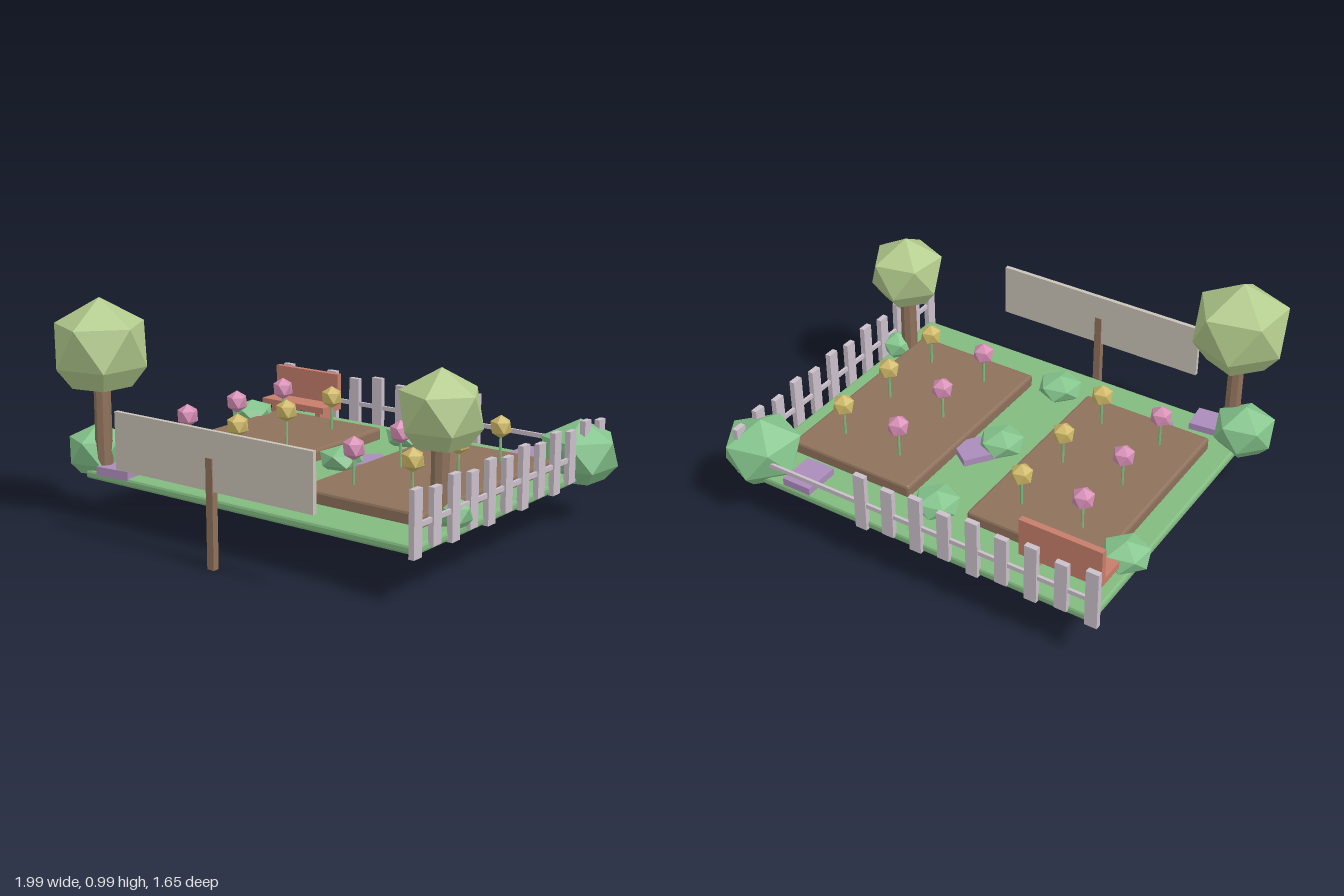
import * as THREE from 'three';
import { RoundedBoxGeometry } from 'three/addons/geometries/RoundedBoxGeometry.js';

const paint = (name, color) => {
  const m = new THREE.MeshStandardMaterial({ color });
  m.name = name;
  return m;
};

// Bakes flat facets into a geometry
function faceted(geometry) {
  const g = geometry.index ? geometry.toNonIndexed() : geometry;
  g.computeVertexNormals();
  return g;
}

// Five-sided foliage ball: apex, twisted rings [height, radius, turn], bottom point
function foliage(topY, bottomY, rings) {
  const N = 5, pos = [0, topY, 0], idx = [];
  for (const [y, r, turn] of rings) {
    for (let i = 0; i < N; i++) {
      const a = 0.1 + turn + (i * Math.PI * 2) / N;
      pos.push(r * Math.cos(a), y, r * Math.sin(a));
    }
  }
  const last = 1 + rings.length * N;
  pos.push(0, bottomY, 0);
  for (let i = 0; i < N; i++) {
    const j = (i + 1) % N;
    idx.push(0, 1 + j, 1 + i);
    for (let k = 0; k < rings.length - 1; k++) {
      const a = 1 + k * N, b = a + N;
      idx.push(a + i, a + j, b + i, a + j, b + j, b + i);
    }
    idx.push(last, last - N + i, last - N + j);
  }
  const g = new THREE.BufferGeometry();
  g.setAttribute('position', new THREE.Float32BufferAttribute(pos, 3));
  g.setIndex(idx);
  return faceted(g);
}

const TWIST = Math.PI / 5;

// Flat-bottomed crown used for trees and bushes
function crown(r, y0, y1) {
  const h = y1 - y0;
  return foliage(y1, y0, [
    [y0 + h * 0.7, r, 0],
    [y0 + h * 0.23, r, TWIST],
    [y0, r * 0.66, TWIST],
  ]);
}

export function createModel() {
  const mat = {
    lawn: paint('lawn green', 0x82ba80),
    bush: paint('bush green', 0x84c48c),
    leaf: paint('pale leaf green', 0xb2ca8c),
    brown: paint('soil and wood brown', 0x8e715b),
    pink: paint('petal pink', 0xd58db4),
    yellow: paint('petal yellow', 0xcdb766),
    purple: paint('stone purple', 0xab8cba),
    bench: paint('bench red', 0xc67d6b),
    fence: paint('fence lilac grey', 0xcabfca),
    sign: paint('sign grey', 0xc9c3b7),
  };
  const model = new THREE.Group();
  model.name = 'garden';

  const add = (name, geometry, material, x = 0, y = 0, z = 0, parent = model) => {
    const mesh = new THREE.Mesh(geometry, material);
    mesh.name = name;
    mesh.position.set(x, y, z);
    parent.add(mesh);
    return mesh;
  };
  // Box given by its extents along each axis
  const box = (name, material, [x0, x1], [y0, y1], [z0, z1], parent = model, bevel = 0) => {
    const s = [x1 - x0, y1 - y0, z1 - z0];
    const g = bevel ? faceted(new RoundedBoxGeometry(...s, 1, bevel)) : new THREE.BoxGeometry(...s);
    return add(name, g, material, (x0 + x1) / 2, (y0 + y1) / 2, (z0 + z1) / 2, parent);
  };
  const group = (name) => {
    const g = new THREE.Group();
    g.name = name;
    model.add(g);
    return g;
  };

  // Lawn and two soil beds
  box('lawn', mat.lawn, [-0.868, 0.868], [0.19, 0.23], [-0.765, 0.647], model, 0.012);
  for (const s of [-1, 1]) {
    const x = s * 0.454;
    box('flowerBed', mat.brown, [x - 0.308, x + 0.308], [0.22, 0.284], [-0.55, 0.443], model, 0.012);
  }

  // Flowers in four columns
  const bloom = foliage(0.052, -0.052, [[0.023, 0.046, 0], [-0.023, 0.046, TWIST]]);
  const stem = faceted(new THREE.CylinderGeometry(0.006, 0.006, 0.14, 6));
  const flowers = group('flowers');
  [-0.6, -0.31, 0.31, 0.6].forEach((x, i) => {
    for (const z of [-0.385, -0.053, 0.278]) {
      add('flowerStem', stem, mat.lawn, x, 0.345, z, flowers);
      add('flowerBloom', bloom, i % 2 ? mat.yellow : mat.pink, x, 0.438, z, flowers);
    }
  });

  // Trees: x, z, crown radius, crown bottom, crown top
  for (const [x, z, r, y0, y1] of [[-0.785, 0.61, 0.2, 0.607, 0.99], [0.785, 0.362, 0.164, 0.543, 0.85]]) {
    const tree = group('tree');
    const h = y0 + 0.03 - 0.22;
    add('trunk', faceted(new THREE.CylinderGeometry(0.036, 0.038, h, 8)), mat.brown, x, 0.22 + h / 2, z, tree);
    add('treeCrown', crown(r, y0, y1), mat.leaf, x, 0, z, tree);
  }

  // Bushes: x, z, radius, bottom, top
  const bushes = [
    [0.825, -0.675, 0.168, 0.18, 0.45],
    [-0.87, 0.56, 0.13, 0.205, 0.42],
    [-0.825, -0.425, 0.1, 0.225, 0.345],
    [0, -0.55, 0.097, 0.225, 0.33],
    [0, -0.053, 0.097, 0.225, 0.33],
    [0, 0.445, 0.097, 0.225, 0.33],
    [0.835, 0.33, 0.07, 0.225, 0.34],
  ];
  for (const [x, z, r, y0, y1] of bushes) add('bush', crown(r, y0, y1), mat.bush, x, 0, z);

  // Picket fences: tall and short pickets alternate
  const picketHeights = [[0.19, 0.46], [0.21, 0.44]];
  const backFence = group('backFence');
  for (let i = 0; i < 9; i++) {
    const x = -0.868 + i * 0.1367;
    box('picket', mat.fence, [x - 0.028, x + 0.028], picketHeights[i % 2], [-0.78, -0.755], backFence);
  }
  box('fenceRail', mat.fence, [-0.868, 0.875], [0.305, 0.325], [-0.774, -0.761], backFence);
  const sideFence = group('sideFence');
  for (let i = 0; i < 12; i++) {
    const z = 0.658 - i * 0.1285;
    box('picket', mat.fence, [0.863, 0.888], picketHeights[i % 2], [z - 0.027, z + 0.027], sideFence);
  }
  box('fenceRail', mat.fence, [0.869, 0.882], [0.305, 0.325], [-0.765, 0.66], sideFence);

  // Bench with seat, back and legs
  const bench = group('bench');
  box('benchSeat', mat.bench, [-0.853, -0.476], [0.3, 0.33], [-0.675, -0.535], bench);
  box('benchBack', mat.bench, [-0.853, -0.476], [0.33, 0.475], [-0.675, -0.647], bench);
  for (const x of [-0.8, -0.53]) {
    box('benchLeg', mat.bench, [x - 0.015, x + 0.015], [0.225, 0.3], [-0.65, -0.56], bench);
  }

  // Stepping stones: x, z, width, depth, turn
  for (const [x, z, w, d, turn] of [
    [0.58, -0.675, 0.14, 0.17, 0],
    [0.076, -0.137, 0.14, 0.17, -0.62],
    [-0.507, 0.406, 0.15, 0.13, 0.29],
    [-0.7, 0.595, 0.17, 0.13, 0.1],
  ]) {
    add('steppingStone', new THREE.BoxGeometry(w, 0.04, d), mat.purple, x, 0.242, z).rotation.y = turn;
  }

  // Blank sign on a post
  const sign = group('sign');
  box('signPost', mat.brown, [-0.017, 0.017], [0, 0.46], [0.783, 0.813], sign);
  box('signPanel', mat.sign, [-0.515, 0.515], [0.325, 0.572], [0.788, 0.808], sign);

  return model;
}
